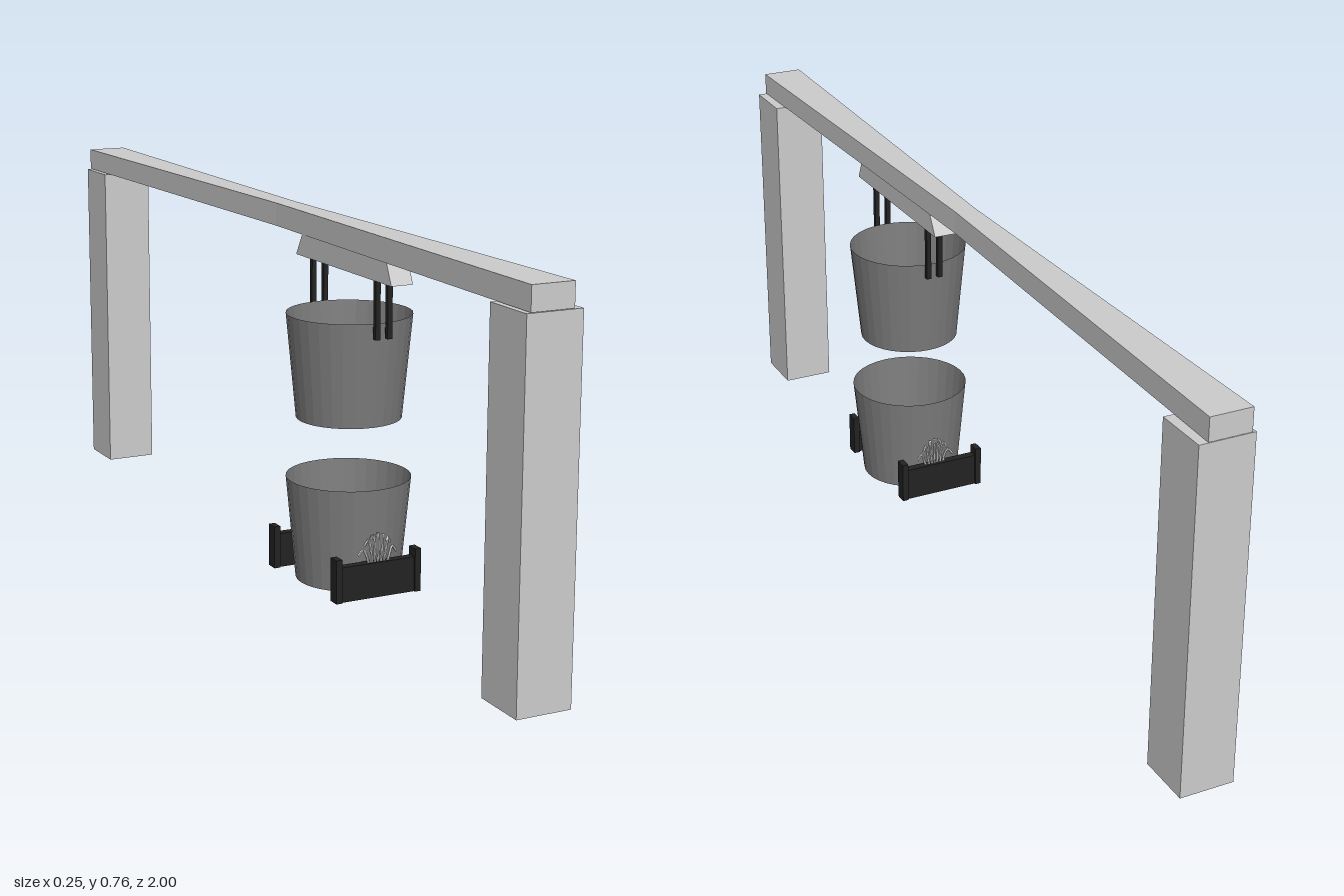
import * as THREE from 'three';

const BUCKET_Z = 0.284;

export function createModel() {
  const model = new THREE.Group();
  const material = (color, extra = {}) => new THREE.MeshStandardMaterial({ color, flatShading: true, ...extra });
  const grey = material(0xcccccc);
  const dark = material(0x222222);
  const bucketGrey = material(0x7c7c7c, { side: THREE.DoubleSide });

  function add(name, geometry, mat, parent = model) {
    const mesh = new THREE.Mesh(geometry, mat);
    mesh.name = name;
    parent.add(mesh);
    return mesh;
  }

  // Box given by its lower and upper corners
  function block(name, [x0, y0, z0], [x1, y1, z1], mat, parent) {
    const mesh = add(name, new THREE.BoxGeometry(x1 - x0, y1 - y0, z1 - z0), mat, parent);
    mesh.position.set((x0 + x1) / 2, (y0 + y1) / 2, (z0 + z1) / 2);
    return mesh;
  }

  // Legs
  block('frontLeg', [-0.05, 0, 0.885], [0.062, 0.711, 1], grey);
  block('backLeg', [-0.05, 0, -1], [0.062, 0.711, -0.885], grey);

  // Beam, pinched at mid-length
  const beamGeometry = new THREE.BoxGeometry(0.086, 0.047, 2, 1, 1, 2);
  const p = beamGeometry.attributes.position;
  for (let i = 0; i < p.count; i++) {
    if (Math.abs(p.getZ(i)) < 0.01) p.setX(i, p.getX(i) * 0.52);
  }
  beamGeometry.computeVertexNormals();
  add('beam', beamGeometry, grey).position.set(0.001, 0.7355, 0);

  // Hanger plate: side profile (z, y) with slanted ends, extruded across x
  const profile = new THREE.Shape([
    [-0.493, 0.668], [-0.096, 0.668], [-0.123, 0.713], [-0.472, 0.713],
  ].map(([x, y]) => new THREE.Vector2(x, y)));
  const plate = new THREE.ExtrudeGeometry(profile, { depth: 0.046, bevelEnabled: false });
  plate.translate(0, 0, -0.023).rotateY(Math.PI / 2);
  add('hangerPlate', plate, grey);

  // Paired hanging rods at both ends of the plate
  for (const z of [0.153, 0.42]) {
    for (const x of [-0.013, 0.013]) {
      block('hangingRod', [x - 0.005, 0.552, z - 0.005], [x + 0.005, 0.69, z + 0.005], dark);
    }
  }

  // Open buckets, one above the other
  const bucketProfile = [[0, 0], [0.105, 0], [0.125, 0.21]].map(([r, y]) => new THREE.Vector2(r, y));
  const bucketGeometry = new THREE.LatheGeometry(bucketProfile, 32);
  for (const [name, y] of [['upperBucket', 0.371], ['lowerBucket', 0.041]]) {
    add(name, bucketGeometry, bucketGrey).position.set(0, y, BUCKET_Z);
  }

  // Brackets: panel with raised end posts and a fan of curled strands
  function bracket(name, x0, x1, z) {
    const group = new THREE.Group();
    group.name = name;
    model.add(group);
    block('panel', [x0, 0.036, z - 0.009], [x1, 0.107, z + 0.009], dark, group);
    for (const x of [x0, x1 - 0.013]) {
      block('endPost', [x, 0.036, z - 0.013], [x + 0.013, 0.124, z + 0.013], dark, group);
    }
    for (let i = -3; i <= 3; i++) {
      const lean = i / 3;
      const top = 0.168 - 0.034 * lean * lean;
      const curve = new THREE.CatmullRomCurve3([
        new THREE.Vector3(lean * 0.02, 0.1, z),
        new THREE.Vector3(lean * 0.024, (top + 0.1) / 2, z + 0.003),
        new THREE.Vector3(lean * 0.032, top, z),
        new THREE.Vector3(lean * 0.042, top - 0.012, z - 0.002),
      ]);
      add('strand', new THREE.TubeGeometry(curve, 10, 0.003, 6), grey, group);
    }
  }
  bracket('frontBracket', -0.097, 0.09, 0.409);
  bracket('backBracket', -0.107, 0.083, 0.155);

  return model;
}
